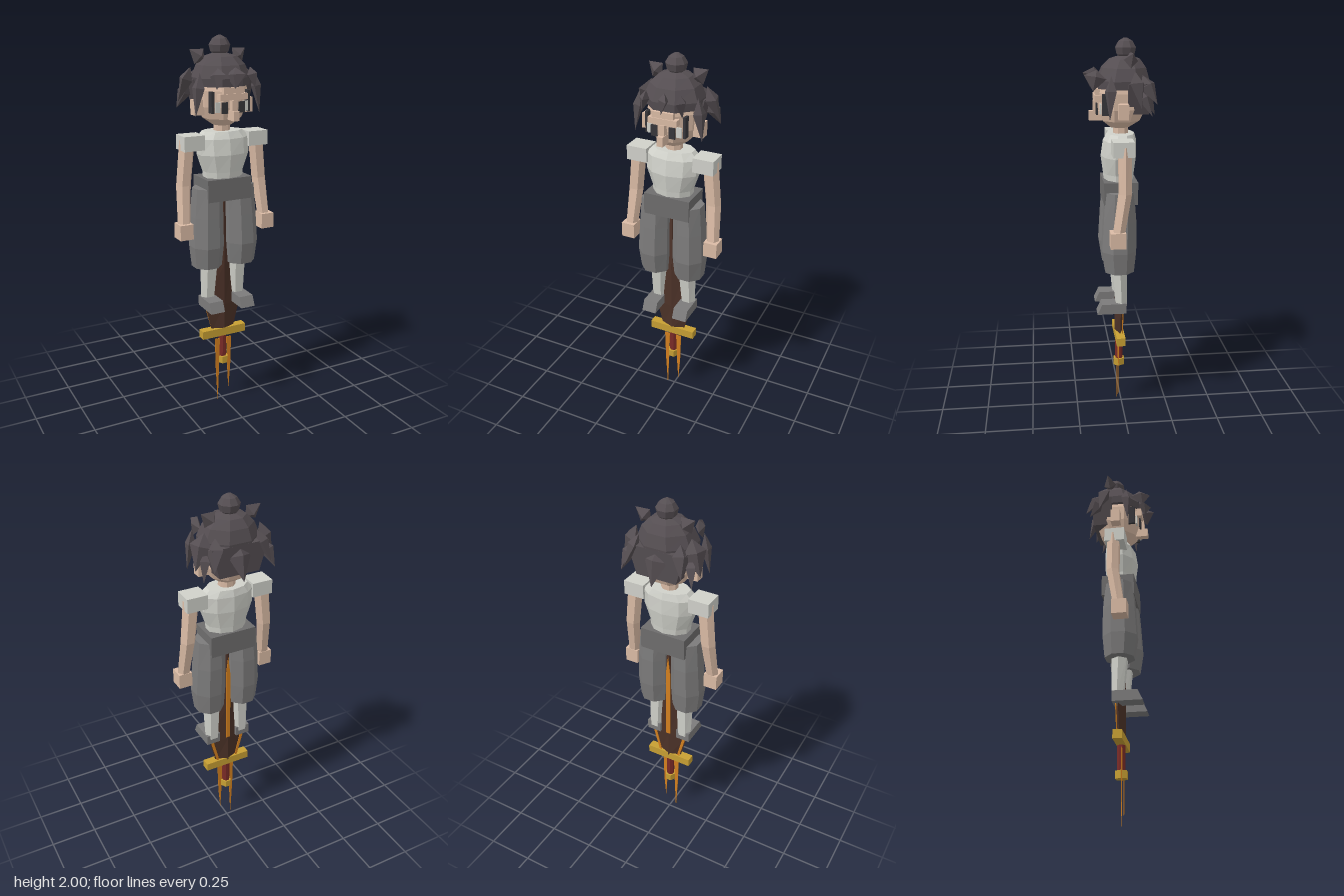
import * as THREE from 'three';

const mat = (name, color) => {
  const m = new THREE.MeshStandardMaterial({ color });
  m.name = name;
  return m;
};

// Gives every face its own normal
function facet(geo) {
  const g = geo.index ? geo.toNonIndexed() : geo;
  g.computeVertexNormals();
  return g;
}

// Closed loft through elliptical sections [y, x, z, rx, rz], listed bottom to top
function loft(sections, n = 8, phase = Math.PI / n) {
  const pos = [], idx = [];
  for (const [y, x, z, rx, rz] of sections)
    for (let i = 0; i < n; i++) {
      const a = phase + (i / n) * Math.PI * 2;
      pos.push(x + rx * Math.cos(a), y, z + rz * Math.sin(a));
    }
  const last = (sections.length - 1) * n;
  for (let j = 0; j < last; j += n)
    for (let i = 0; i < n; i++) {
      const k = (i + 1) % n;
      idx.push(j + k, j + i, j + n + i, j + k, j + n + i, j + n + k);
    }
  for (let i = 1; i < n - 1; i++) idx.push(0, i, i + 1, last, last + i + 1, last + i);
  const g = new THREE.BufferGeometry();
  g.setAttribute('position', new THREE.Float32BufferAttribute(pos, 3));
  g.setIndex(idx);
  return facet(g);
}

// Box given by its minimum and maximum corners
function box(x0, x1, y0, y1, z0, z1) {
  return new THREE.BoxGeometry(x1 - x0, y1 - y0, z1 - z0)
    .translate((x0 + x1) / 2, (y0 + y1) / 2, (z0 + z1) / 2);
}

// Pointed tuft from root to tip, thickest near the root
function tuft(root, tip, w, t) {
  const a = new THREE.Vector3(...root), b = new THREE.Vector3(...tip);
  const dir = b.clone().sub(a), g = new THREE.OctahedronGeometry(1), p = g.attributes.position;
  for (let i = 0; i < p.count; i++) if (Math.abs(p.getY(i)) < 0.5) p.setY(i, -0.3);
  g.scale(w, dir.length() / 2, t);
  g.applyQuaternion(new THREE.Quaternion().setFromUnitVectors(new THREE.Vector3(0, 1, 0), dir.normalize()));
  g.translate((a.x + b.x) / 2, (a.y + b.y) / 2, (a.z + b.z) / 2);
  return facet(g);
}

// Thin plate from an outline in the xy plane
function plate(points, z, depth = 0.004) {
  const s = new THREE.Shape(points.map(([x, y]) => new THREE.Vector2(x, y)));
  return new THREE.ExtrudeGeometry(s, { depth, bevelEnabled: false }).translate(0, 0, z - depth / 2);
}

export function createModel() {
  const root = new THREE.Group();
  root.name = 'swordFighter';
  const hair = mat('charcoal hair', 0x554e52), skin = mat('skin', 0xdabba5);
  const cloth = mat('pale cloth', 0xd0d1ca), grey = mat('grey cloth', 0x7c7b7b);
  const sash = mat('dark grey sash', 0x6e6d6d), dark = mat('eye black', 0x37363a);
  const blade = mat('brown blade', 0x4c3228), gold = mat('gold', 0xc79f33);
  const grip = mat('red grip', 0x7a2b27), flame = mat('orange', 0xd4801f);
  const add = (name, geo, m) => {
    const mesh = new THREE.Mesh(geo, m);
    mesh.name = name;
    root.add(mesh);
    return mesh;
  };

  // Head and neck
  add('head', loft([[1.565, 0, 0.01, 0.05, 0.05], [1.6, 0, 0.005, 0.1, 0.1], [1.66, 0, 0, 0.125, 0.125],
    [1.74, 0, 0, 0.13, 0.13], [1.82, 0, 0, 0.11, 0.11]]), skin);
  add('neck', loft([[1.5, 0, 0.005, 0.045, 0.04], [1.6, 0, 0.005, 0.042, 0.04]]), skin);
  add('brow', box(-0.075, 0.075, 1.7, 1.73, 0.1, 0.14), skin);
  add('forehead', box(-0.055, 0.055, 1.73, 1.76, 0.1, 0.135), skin);
  add('noseBridge', box(-0.014, 0.014, 1.645, 1.7, 0.1, 0.145), skin);
  add('noseTip', box(-0.016, 0.016, 1.6, 1.648, 0.1, 0.165), skin);

  // Hair cap, back block and bun
  add('hairCap', loft([[1.76, 0, -0.005, 0.145, 0.135], [1.8, 0, -0.005, 0.151, 0.138],
    [1.86, 0, -0.01, 0.125, 0.115], [1.9, 0, -0.015, 0.085, 0.08], [1.917, 0, -0.02, 0.03, 0.03]]), hair);
  const back = box(-0.147, 0.147, 1.64, 1.79, -0.132, -0.02), bp = back.attributes.position;
  for (let i = 0; i < bp.count; i++)
    if (bp.getY(i) < 1.7) bp.setXYZ(i, bp.getX(i) * 0.72, bp.getY(i), bp.getZ(i) * 0.95);
  add('backHair', facet(back), hair);
  add('bun', loft([[1.9, 0, -0.02, 0.02, 0.02], [1.922, 0, -0.02, 0.046, 0.046], [1.955, 0, -0.02, 0.054, 0.054],
    [1.985, 0, -0.02, 0.036, 0.036], [2, 0, -0.02, 0.01, 0.01]]), hair);

  // Fringe and middle back tuft
  for (const [x, tipX] of [[-0.085, -0.1], [0.01, 0], [0.09, 0.11]])
    add('fringeTuft', tuft([x, 1.855, 0.13], [tipX, 1.755, 0.15], 0.055, 0.024), hair);
  add('backTuft', tuft([0, 1.8, -0.1], [0, 1.62, -0.17], 0.06, 0.035), hair);

  // Torso and sash
  add('torso', loft([[1.27, 0, 0.015, 0.105, 0.075], [1.33, 0, 0.015, 0.11, 0.08], [1.42, 0, 0.015, 0.142, 0.092],
    [1.5, 0, 0.01, 0.145, 0.085], [1.535, 0, 0.005, 0.11, 0.07]], 10), cloth);
  add('sash', box(-0.125, 0.125, 1.185, 1.3, -0.072, 0.1), sash);

  for (const s of [1, -1]) {
    const side = s > 0 ? 'left' : 'right';
    const part = (name, geo, m) => add(side + name, geo, m);
    const sbox = (x0, x1, ...r) => box(Math.min(s * x0, s * x1), Math.max(s * x0, s * x1), ...r);

    // Face details
    part('Eye', sbox(0.03, 0.063, 1.635, 1.69, 0.124, 0.132), dark);
    part('EyeWhite', sbox(0.063, 0.09, 1.64, 1.69, 0.108, 0.116), cloth);
    part('Sideburn', sbox(0.092, 0.106, 1.635, 1.74, 0.07, 0.105), dark);
    part('Ear', sbox(0.11, 0.163, 1.62, 1.695, -0.02, 0.03), skin);

    // Hair tufts on each side
    part('FrontLock', tuft([s * 0.15, 1.83, 0.065], [s * 0.178, 1.62, 0.075], 0.026, 0.034), hair);
    part('SideTuft', tuft([s * 0.145, 1.85, -0.05], [s * 0.205, 1.68, -0.075], 0.035, 0.055), hair);
    part('RearTuft', tuft([s * 0.11, 1.83, -0.09], [s * 0.15, 1.69, -0.16], 0.045, 0.03), hair);
    part('LowerTuft', tuft([s * 0.15, 1.77, -0.07], [s * 0.19, 1.64, -0.13], 0.03, 0.035), hair);
    part('CrownTuft', tuft([s * 0.08, 1.88, -0.03], [s * 0.155, 1.935, -0.04], 0.045, 0.035), hair);

    // Arm
    part('ShoulderPad', sbox(0.125, 0.235, 1.45, 1.525, -0.04, 0.065), cloth);
    part('Arm', loft([[1.05, s * 0.234, 0.04, 0.034, 0.032], [1.27, s * 0.218, 0.005, 0.041, 0.036],
      [1.5, s * 0.195, 0.005, 0.043, 0.036]], 6, 0), skin);
    part('Hand', sbox(0.2, 0.272, 1, 1.08, 0.005, 0.082), skin);

    // Leg
    part('TrouserLeg', loft([[0.825, s * 0.098, 0.022, 0.08, 0.08], [0.94, s * 0.1, 0.025, 0.091, 0.095],
      [1.1, s * 0.096, 0.02, 0.086, 0.09], [1.25, s * 0.09, 0.02, 0.08, 0.078]]), grey);
    part('Shin', loft([[0.62, s * 0.087, 0.01, 0.04, 0.032], [0.84, s * 0.083, 0.02, 0.052, 0.045]], 6, 0), cloth);
    const shoe = sbox(0.05, 0.13, 0.59, 0.645, -0.015, 0.14), p = shoe.attributes.position;
    for (let i = 0; i < p.count; i++) if (p.getY(i) > 0.62 && p.getZ(i) > 0.1) p.setZ(i, 0.115);
    part('Shoe', facet(shoe), grey);

    // Orange edge strips behind the blade and streamers under the guard
    part('BladeEdge', plate([[s * 0.05, 0.445], [s * 0.064, 0.445], [s * 0.1, 0.58], [s * 0.075, 0.78], [s * 0.083, 0.58]], 0), flame);
    const tip = s > 0 ? 0.065 : 0;
    part('Streamer', plate([[s * 0.02, 0.38], [s * 0.05, 0.38], [s * 0.045, 0.2], [s * 0.034, tip], [s * 0.024, 0.24]], 0.02, 0.003), flame);
  }

  // Sword hanging point up behind the legs
  add('blade', loft([[0.43, 0, 0.013, 0.065, 0.024], [0.585, 0, 0.013, 0.103, 0.025], [0.82, 0, 0.013, 0.068, 0.024],
    [1.24, 0, 0.013, 0.012, 0.015]], 4, 0), blade);
  add('bladeStripe', plate([[-0.012, 0.6], [0.012, 0.6], [0.012, 1.02], [0, 1.12], [-0.012, 1.02]], -0.014), flame);
  add('guard', box(-0.13, 0.13, 0.4, 0.445, -0.01, 0.037), gold);
  add('grip', loft([[0.26, 0, 0.013, 0.021, 0.021], [0.41, 0, 0.013, 0.021, 0.021]]), grip);
  add('pommel', loft([[0.232, 0, 0.014, 0.03, 0.033], [0.272, 0, 0.014, 0.03, 0.033]], 6, 0), gold);

  return root;
}
